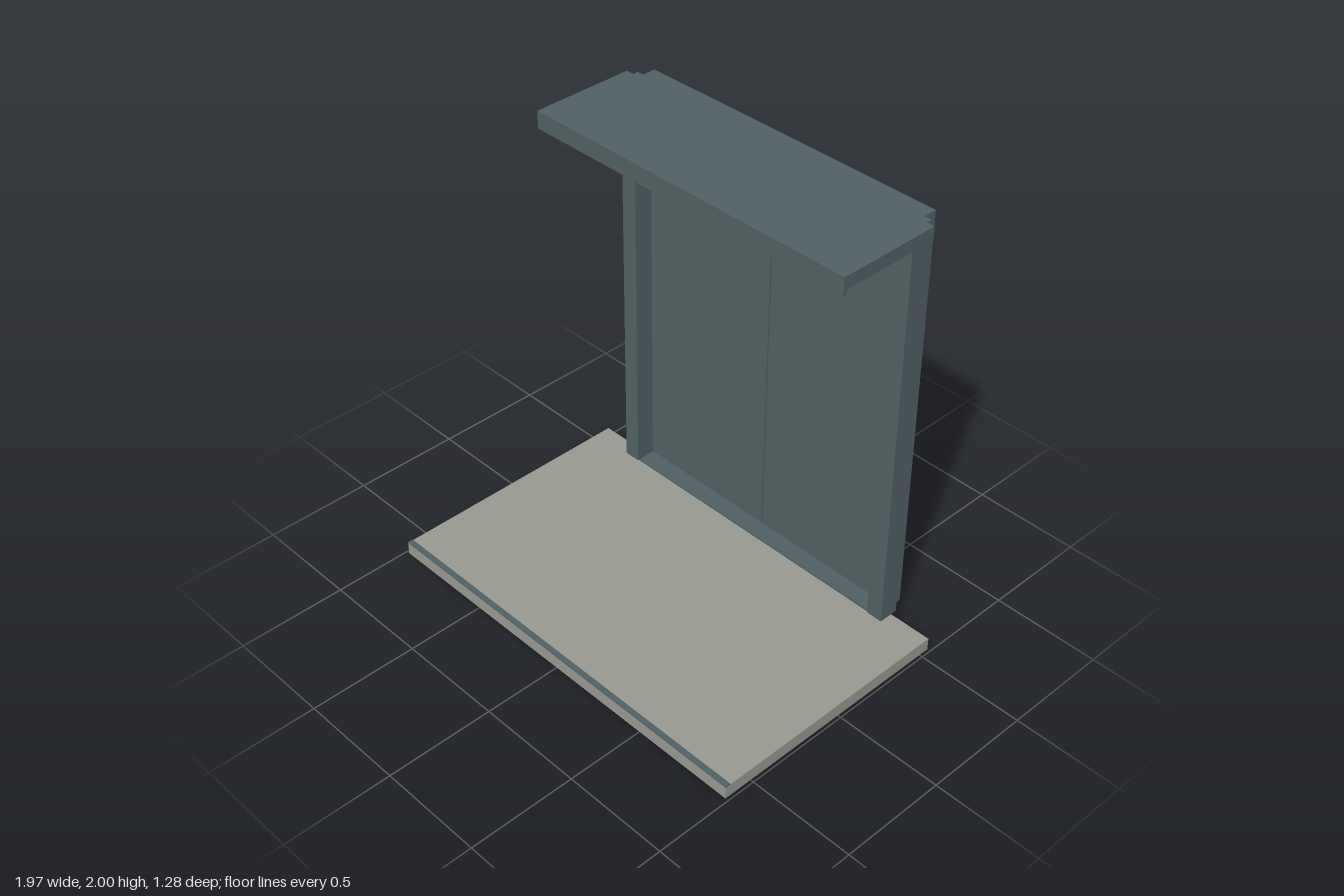
import * as THREE from 'three';

export function createModel() {
  const model = new THREE.Group();
  model.name = 'entranceDoor';

  const frameMat = new THREE.MeshStandardMaterial({ color: 0x506164 });
  frameMat.name = 'slate grey metal';
  const stoneMat = new THREE.MeshStandardMaterial({ color: 0x989a92 });
  stoneMat.name = 'pale stone grey';

  // Box given by its limits on each axis
  function box(name, [x0, x1], [y0, y1], [z0, z1], material, parent = model) {
    const mesh = new THREE.Mesh(new THREE.BoxGeometry(x1 - x0, y1 - y0, z1 - z0), material);
    mesh.position.set((x0 + x1) / 2, (y0 + y1) / 2, (z0 + z1) / 2);
    mesh.name = name;
    parent.add(mesh);
    return mesh;
  }

  // Landing slab with a metal nosing along its front edge
  box('landingSlab', [-0.985, 0.985], [0, 0.06], [-0.55, 0.638], stoneMat);
  box('slabNosing', [-0.985, 0.985], [0.06, 0.065], [0.613, 0.638], frameMat);

  // Threshold under the doors
  box('threshold', [-0.705, 0.705], [0.058, 0.068], [-0.612, -0.49], frameMat);

  // Canopy with a drip lip at the front and small downlights
  box('canopy', [-0.82, 0.82], [1.94, 2], [-0.548, -0.08], frameMat);
  box('canopyLip', [-0.82, 0.82], [1.92, 2], [-0.08, -0.066], frameMat);
  for (const x of [-0.45, 0, 0.45]) {
    const light = new THREE.Mesh(new THREE.CylinderGeometry(0.013, 0.013, 0.006, 20), frameMat);
    light.position.set(x, 1.937, -0.377);
    light.name = 'canopyDownlight';
    model.add(light);
  }

  // Head of the frame, front and rear
  box('frontHead', [-0.705, 0.705], [1.935, 1.999], [-0.575, -0.48], frameMat);
  box('rearHead', [-0.75, 0.75], [1.94, 2], [-0.637, -0.575], frameMat);

  // Stepped jamb, door leaf and pull bar on each side
  for (const [side, s] of [['left', 1], ['right', -1]]) {
    const half = new THREE.Group();
    half.name = side + 'Half';
    model.add(half);
    const span = (a, b) => (s > 0 ? [a, b] : [-b, -a]);

    box(side + 'FrontJamb', span(0.705, 0.783), [0.066, 1.999], [-0.575, -0.48], frameMat, half);
    box(side + 'RearJamb', span(0.7, 0.75), [0.066, 1.94], [-0.637, -0.575], frameMat, half);

    box(side + 'DoorLeaf', span(0.003, 0.702), [0.072, 1.942], [-0.603, -0.57], frameMat, half);
    box(side + 'DoorInnerPanel', span(0.003, 0.7), [0.072, 1.94], [-0.61, -0.603], stoneMat, half);

    box(side + 'PullBar', span(0.125, 0.583), [0.832, 0.866], [-0.634, -0.61], frameMat, half);
  }

  return model;
}
